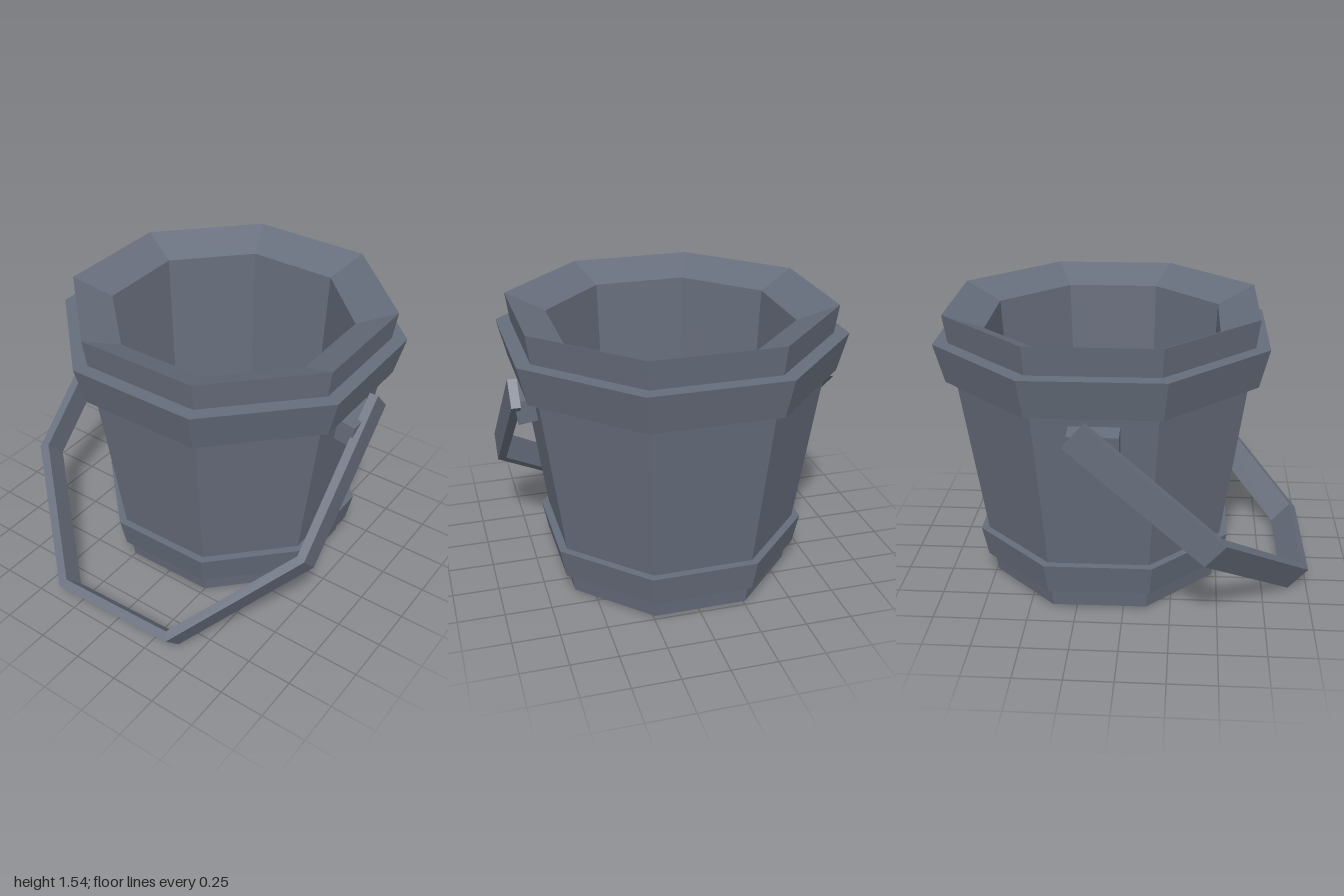
import * as THREE from 'three';

const SIDES = 8;
const TURN = 0.009;
const CENTER_Z = -0.133;

export function createModel() {
  const model = new THREE.Group();
  model.name = 'bucket';
  const material = new THREE.MeshStandardMaterial({ color: 0x666d7b, flatShading: true });

  const add = (name, geometry, parent = model) => {
    const mesh = new THREE.Mesh(geometry, material);
    mesh.name = name;
    parent.add(mesh);
    return mesh;
  };

  // Octagonal ring or vessel from a [radius, height] profile
  const octagon = (name, profile) => {
    const points = profile.map(([r, y]) => new THREE.Vector2(r, y));
    const mesh = add(name, new THREE.LatheGeometry(points, SIDES, Math.PI / SIDES));
    mesh.rotation.y = TURN;
    mesh.position.z = CENTER_Z;
    return mesh;
  };

  // Tapered body: underside, outer wall, bevelled rim, inner wall, floor
  octagon('body', [
    [0, 0.01], [0.653, 0.01], [0.876, 1.535],
    [0.66, 1.445], [0.59, 0.13], [0, 0.13],
  ]);

  // Hoops around the body
  octagon('upperBand', [[0.8, 1.176], [0.879, 1.176], [0.934, 1.385], [0.83, 1.385]]);
  octagon('lowerBand', [[0.65, 0.121], [0.703, 0.121], [0.738, 0.288], [0.68, 0.288]]);

  // Pegs square to the sloping wall
  for (const [name, side] of [['leftPeg', 1], ['rightPeg', -1]]) {
    const peg = add(name, new THREE.BoxGeometry(0.165, 0.125, 0.255));
    peg.position.set(side * 0.761, 1.05, CENTER_Z - side * 0.005);
    peg.rotation.z = -side * 0.14;
  }

  // Angular bail handle, flat strip hanging forward; points are [x, distance down the arm]
  const outer = [[0.872, 0], [0.892, 0.925], [0.388, 1.603], [-0.342, 1.622], [-0.878, 0.982], [-0.897, 0.045]];
  const inner = [[-0.848, 0.045], [-0.832, 0.955], [-0.32, 1.574], [0.365, 1.556], [0.845, 0.91], [0.823, 0]];
  const outline = new THREE.Shape([...outer, ...inner].map(([x, s]) => new THREE.Vector2(x, -s)));
  const width = 0.158;
  const strip = new THREE.ExtrudeGeometry(outline, { depth: width, bevelEnabled: false });
  strip.translate(0, 0, -width / 2);
  const handle = add('handle', strip);
  handle.position.set(0, 1.147, -0.25);
  handle.rotation.x = -0.833;

  return model;
}
